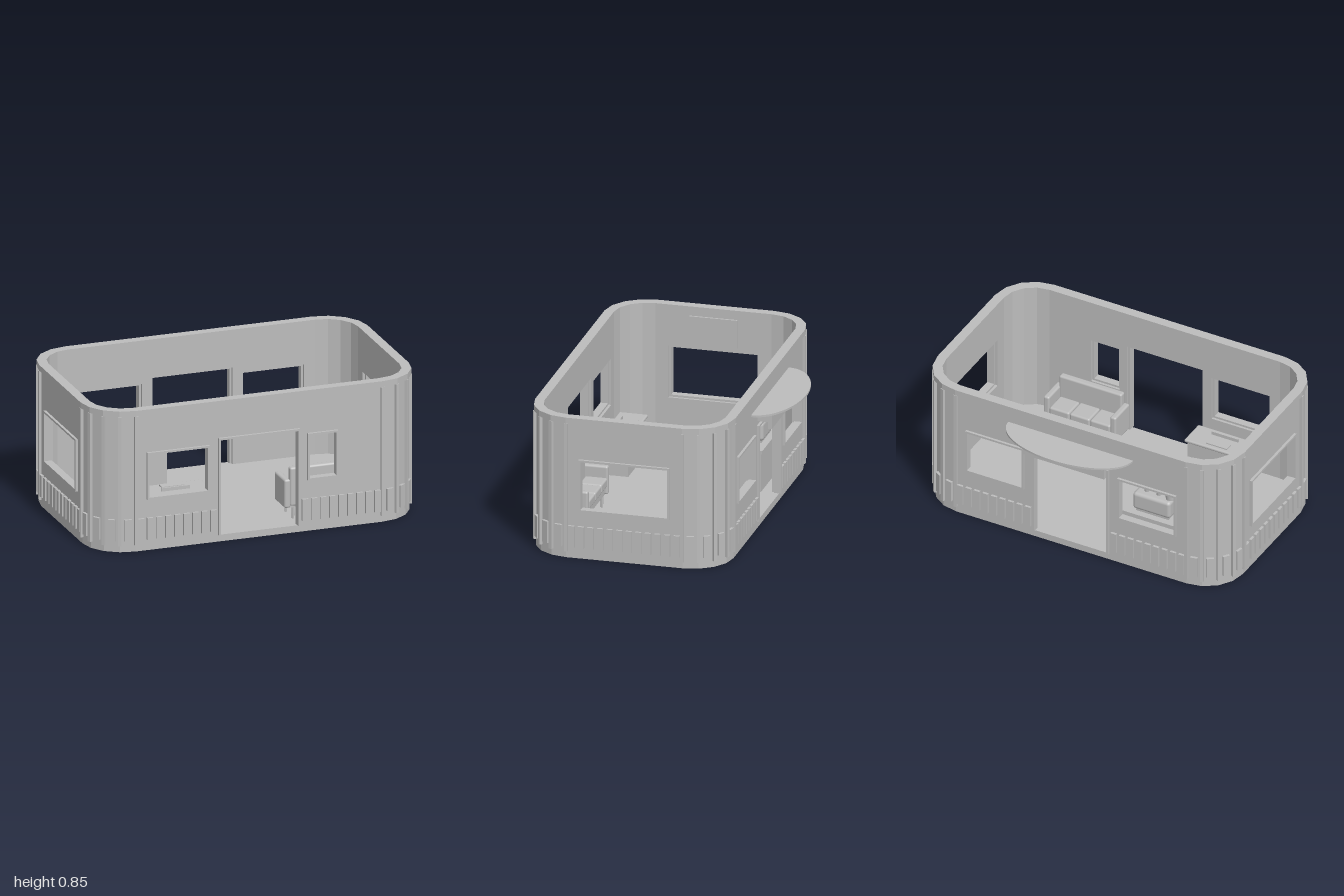
import * as THREE from 'three';
import { RoundedBoxGeometry } from 'three/addons/geometries/RoundedBoxGeometry.js';

const CX = 0.74, CZ = 0.34, ZC = 0.1;      // corner centres and depth offset
const R_IN = 0.19, R_BODY = 0.235, R_MAX = 0.25;
const FLOOR = 0.04, TOP = 0.845, CAP = 0.81;
const STEPS = 4;                           // facets per rounded corner

export function createModel() {
  const model = new THREE.Group();
  const grey = new THREE.MeshStandardMaterial({ color: 0xbcbcbc });
  grey.name = 'plain grey';

  const add = (parent, name, geo, x = 0, y = 0, z = 0, ry = 0) => {
    const m = new THREE.Mesh(geo, grey);
    m.name = name;
    m.position.set(x, y, z);
    m.rotation.y = ry;
    parent.add(m);
    return m;
  };
  // box given by its limits
  const block = (parent, name, x0, x1, y0, y1, z0, z1) =>
    add(parent, name, new THREE.BoxGeometry(x1 - x0, y1 - y0, z1 - z0), (x0 + x1) / 2, (y0 + y1) / 2, (z0 + z1) / 2);
  const soft = (parent, name, x0, x1, y0, y1, z0, z1, r = 0.012) =>
    add(parent, name, new RoundedBoxGeometry(x1 - x0, y1 - y0, z1 - z0, 2, r), (x0 + x1) / 2, (y0 + y1) / 2, (z0 + z1) / 2);
  const group = (name, parent = model) => {
    const g = new THREE.Group();
    g.name = name;
    parent.add(g);
    return g;
  };
  const extrude = (shape, depth) =>
    new THREE.ExtrudeGeometry(shape, { depth, bevelEnabled: false, curveSegments: 24 });
  // horizontal slab from a plan shape, whose second axis is z
  const slab = (parent, name, shape, y0, y1) => {
    const m = add(parent, name, extrude(shape, y1 - y0), 0, y1, 0);
    m.rotation.x = Math.PI / 2;
    return m;
  };
  // faceted rounded rectangle in plan
  const plan = (r) => {
    const pts = [];
    [[1, 1], [-1, 1], [-1, -1], [1, -1]].forEach(([sx, sz], q) => {
      for (let i = 0; i <= STEPS; i++) {
        const a = (q + i / STEPS) * Math.PI / 2;
        pts.push(new THREE.Vector2(sx * CX + r * Math.cos(a), ZC + sz * CZ + r * Math.sin(a)));
      }
    });
    return pts;
  };

  // floor and top cap
  slab(model, 'floor', new THREE.Shape(plan(R_BODY)), 0, FLOOR);
  const ring = new THREE.Shape(plan(R_MAX - 0.003));
  ring.holes.push(new THREE.Path(plan(R_IN)));
  slab(model, 'topCap', ring, CAP, TOP);

  // straight walls: openings are [x0, x1, y0, y1], a door starts at the floor
  const frame = (parent, [x0, x1, y0, y1], isDoor) => {
    const t = 0.012, z0 = R_BODY - R_IN - 0.03, z1 = R_MAX - R_IN;
    block(parent, 'frameTop', x0, x1, y1 - t, y1, z0, z1);
    block(parent, 'frameSide', x0, x0 + t, y0, y1 - t, z0, z1);
    block(parent, 'frameSide', x1 - t, x1, y0, y1 - t, z0, z1);
    if (!isDoor) block(parent, 'frameSill', x0 + t, x1 - t, y0, y0 + t, z0, z1);
  };
  const wall = (name, half, px, pz, ry, windows, door) => {
    const g = group(name);
    g.position.set(px, 0, pz);
    g.rotation.y = ry;
    const s = new THREE.Shape();
    s.moveTo(-half, FLOOR);
    if (door) {
      s.lineTo(door[0], FLOOR);
      s.lineTo(door[0], door[3]);
      s.lineTo(door[1], door[3]);
      s.lineTo(door[1], FLOOR);
      frame(g, door, true);
    }
    s.lineTo(half, FLOOR);
    s.lineTo(half, CAP);
    s.lineTo(-half, CAP);
    for (const w of windows) {
      const [x0, x1, y0, y1] = w;
      const h = new THREE.Path();
      h.moveTo(x0, y0);
      h.lineTo(x0, y1);
      h.lineTo(x1, y1);
      h.lineTo(x1, y0);
      s.holes.push(h);
      frame(g, w, false);
    }
    add(g, 'wallPanel', extrude(s, R_BODY - R_IN));
    // row of lower slats
    const slat = (x) => block(g, 'slat', x - 0.018, x + 0.018, 0.065, 0.195, 0.04, R_MAX - R_IN);
    if (door) for (let i = 0; i < 9; i++) [-1, 1].forEach((k) => slat(k * (0.275 + i * 0.0545)));
    else for (let i = 0; i < 12; i++) slat((i - 5.5) * 0.056);
  };
  const door = [-0.245, 0.243, FLOOR, 0.62];
  const big = [-0.675, -0.3, 0.305, 0.585], bigMirror = [0.3, 0.675, 0.305, 0.585];
  wall('frontWall', CX, 0, ZC + CZ + R_IN, 0, [big, [0.29, 0.473, 0.305, 0.585]], door);
  wall('backWall', CX, 0, ZC - CZ - R_IN, Math.PI, [big, bigMirror], door);
  wall('leftWall', CZ, CX + R_IN, ZC, Math.PI / 2, [[-0.265, 0.265, 0.285, 0.597]]);
  wall('rightWall', CZ, -CX - R_IN, ZC, -Math.PI / 2, [[-0.265, 0.265, 0.285, 0.597]]);

  // rounded corners with vertical ribs and slats
  [[1, 1], [-1, 1], [-1, -1], [1, -1]].forEach(([sx, sz], q) => {
    const g = group('roundedCorner');
    const cx = sx * CX, cz = ZC + sz * CZ;
    const at = (i, r) => {
      const a = (q + i / STEPS) * Math.PI / 2;
      return new THREE.Vector2(cx + r * Math.cos(a), cz + r * Math.sin(a));
    };
    const pts = [];
    for (let i = 0; i <= STEPS; i++) pts.push(at(i, R_BODY));
    for (let i = STEPS; i >= 0; i--) pts.push(at(i, R_IN));
    slab(g, 'cornerWall', new THREE.Shape(pts), FLOOR, CAP);
    for (let i = 0; i <= STEPS; i++) {
      const turn = Math.PI / 2 - (q + i / STEPS) * Math.PI / 2;
      const p = at(i, 0.238);
      add(g, 'rib', new THREE.BoxGeometry(0.02, CAP - FLOOR, 0.024), p.x, (CAP + FLOOR) / 2, p.y, turn);
      if (i === STEPS) continue;
      const c = at(i + 0.5, 0.235);
      add(g, 'slat', new THREE.BoxGeometry(0.042, 0.13, 0.022), c.x, 0.13, c.y, turn - Math.PI / 4 / STEPS);
    }
  });

  // half-oval awning and hanging board over the back door
  const oval = new THREE.Shape();
  oval.absellipse(0, -0.485, 0.4, 0.213, Math.PI, Math.PI * 2, false);
  slab(model, 'awning', oval, 0.728, 0.74);
  block(model, 'boardBracket', -0.23, 0.23, 0.642, 0.685, -0.545, -0.47);
  block(model, 'board', -0.26, 0.26, 0.613, 0.713, -0.567, -0.545);

  // board on the inner wall
  block(model, 'wallBoard', -0.94, -0.918, 0.62, 0.79, -0.04, 0.24);

  // service counter with drinks machine
  const counter = group('counter');
  block(counter, 'counterBody', -0.635, -0.228, FLOOR, 0.27, -0.37, -0.21);
  block(counter, 'counterTop', -0.645, -0.217, 0.27, 0.29, -0.38, -0.2);
  const machine = group('drinksMachine');
  soft(machine, 'machineBody', -0.565, -0.325, 0.305, 0.415, -0.355, -0.245, 0.02);
  block(machine, 'machineBase', -0.55, -0.34, 0.29, 0.31, -0.34, -0.215);
  block(machine, 'brewHead', -0.555, -0.335, 0.37, 0.4, -0.25, -0.225);
  [-0.565, -0.335].forEach((x) => block(machine, 'sidePanel', x, x + 0.01, 0.31, 0.395, -0.25, -0.19));
  [-0.51, -0.43, -0.35].forEach((x) => {
    const handle = add(machine, 'handle', new THREE.CylinderGeometry(0.006, 0.008, 0.045, 10), x, 0.365, -0.21);
    handle.rotation.x = Math.PI / 2;
  });
  add(machine, 'hopper', new THREE.CylinderGeometry(0.033, 0.03, 0.07, 24), -0.545, 0.45, -0.3);
  [-0.468, -0.39].forEach((x) => {
    add(machine, 'cup', new THREE.CylinderGeometry(0.018, 0.014, 0.035, 16), x, 0.432, -0.3);
    add(machine, 'cupHandle', new THREE.TorusGeometry(0.009, 0.003, 6, 12), x - 0.02, 0.433, -0.3);
  });

  // desk by the front window
  const desk = group('desk');
  soft(desk, 'deskTop', -0.635, -0.247, 0.265, 0.285, 0.402, 0.572, 0.009);
  block(desk, 'deskBody', -0.62, -0.262, FLOOR, 0.268, 0.417, 0.56);
  block(desk, 'keyboard', -0.51, -0.375, 0.284, 0.292, 0.425, 0.475);
  block(desk, 'screen', -0.53, -0.36, 0.284, 0.305, 0.52, 0.53);

  // three-seat sofa facing the room
  const sofa = group('sofa');
  block(sofa, 'sofaBase', 0.225, 0.625, 0.11, 0.165, 0.42, 0.565);
  soft(sofa, 'sofaBack', 0.225, 0.628, 0.12, 0.35, 0.532, 0.575);
  [0.192, 0.62].forEach((x) => soft(sofa, 'armrest', x, x + 0.038, 0.11, 0.28, 0.402, 0.572));
  for (let i = 0; i < 3; i++)
    soft(sofa, 'cushion', 0.23 + i * 0.131, 0.358 + i * 0.131, 0.16, 0.215, 0.402, 0.535);
  [0.25, 0.6].forEach((x) => [0.43, 0.55].forEach((z) =>
    add(sofa, 'sofaLeg', new THREE.CylinderGeometry(0.009, 0.007, 0.075, 10), x, 0.0775, z)));

  return model;
}
